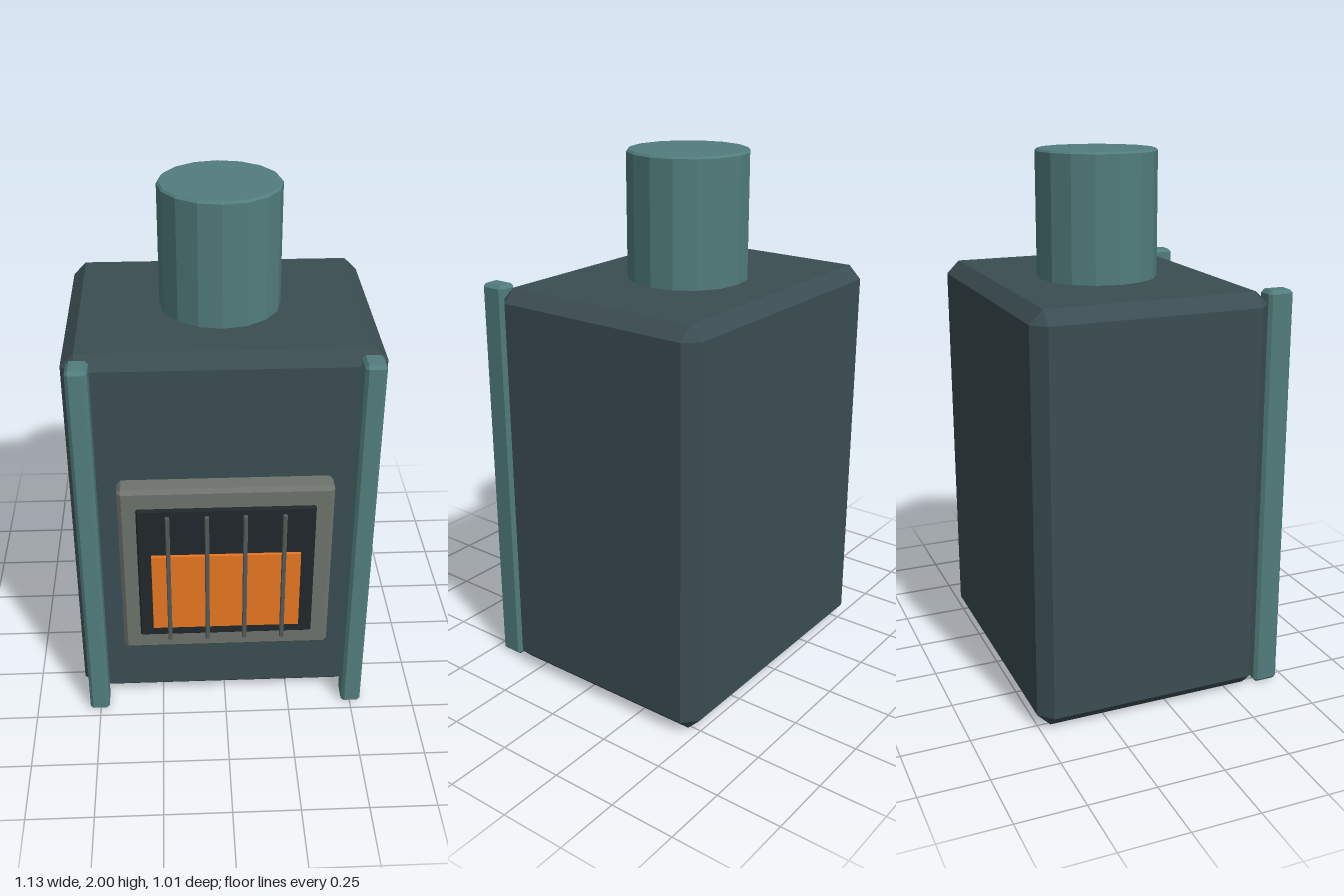
import * as THREE from 'three';
import { ConvexGeometry } from 'three/addons/geometries/ConvexGeometry.js';

const paint = (color) => new THREE.MeshStandardMaterial({ color, flatShading: true });

// Box with chamfered edges: each corner becomes three points, one per face.
function chamferBox(w, h, d, c) {
  const half = [w / 2, h / 2, d / 2];
  const points = [];
  for (const sx of [-1, 1]) for (const sy of [-1, 1]) for (const sz of [-1, 1]) {
    for (let face = 0; face < 3; face++) {
      const p = half.map((v, axis) => (axis === face ? v : v - c));
      points.push(new THREE.Vector3(sx * p[0], sy * p[1], sz * p[2]));
    }
  }
  return new ConvexGeometry(points);
}

export function createModel() {
  const group = new THREE.Group();
  const iron = paint(0x3b4d52);
  const teal = paint(0x527d7d);
  const steel = paint(0x6e736e);
  const soot = paint(0x20282c);
  const ember = paint(0xe87722);
  const barMetal = paint(0x555a58);

  // Adds a chamfered block spanning the given x, y and z ranges.
  function block(name, [x0, x1], [y0, y1], [z0, z1], chamfer, material) {
    const mesh = new THREE.Mesh(chamferBox(x1 - x0, y1 - y0, z1 - z0, chamfer), material);
    mesh.position.set((x0 + x1) / 2, (y0 + y1) / 2, (z0 + z1) / 2);
    mesh.name = name;
    group.add(mesh);
  }

  // Stove body
  block('body', [-0.567, 0.567], [0.005, 1.533], [-0.505, 0.378], 0.049, iron);

  // Front corner posts
  block('leftPost', [0.465, 0.541], [0, 1.533], [0.372, 0.469], 0.012, teal);
  block('rightPost', [-0.541, -0.465], [0, 1.533], [0.372, 0.469], 0.012, teal);

  // Flue: sixteen sides with bevelled rims
  const r = 0.225, bevel = 0.008;
  const profile = [[0, 1.5], [r - bevel, 1.5], [r, 1.5 + bevel], [r, 2 - bevel], [r - bevel, 2], [0, 2]]
    .map(([x, y]) => new THREE.Vector2(x, y));
  const flue = new THREE.Mesh(new THREE.LatheGeometry(profile, 16), teal);
  flue.position.z = -0.063;
  flue.name = 'flue';
  group.add(flue);

  // Door frame, window and fire glow
  block('doorFrame', [-0.392, 0.392], [0.308, 1.042], [0.36, 0.455], 0.015, steel);
  block('window', [-0.326, 0.326], [0.385, 0.966], [0.44, 0.469], 0.006, soot);
  block('fireGlow', [-0.276, 0.275], [0.43, 0.768], [0.46, 0.48], 0.001, ember);

  // Grate bars
  for (const x of [-0.213, -0.071, 0.068, 0.21]) {
    block('grateBar', [x - 0.008, x + 0.008], [0.388, 0.955], [0.487, 0.503], 0.003, barMetal);
  }

  return group;
}
